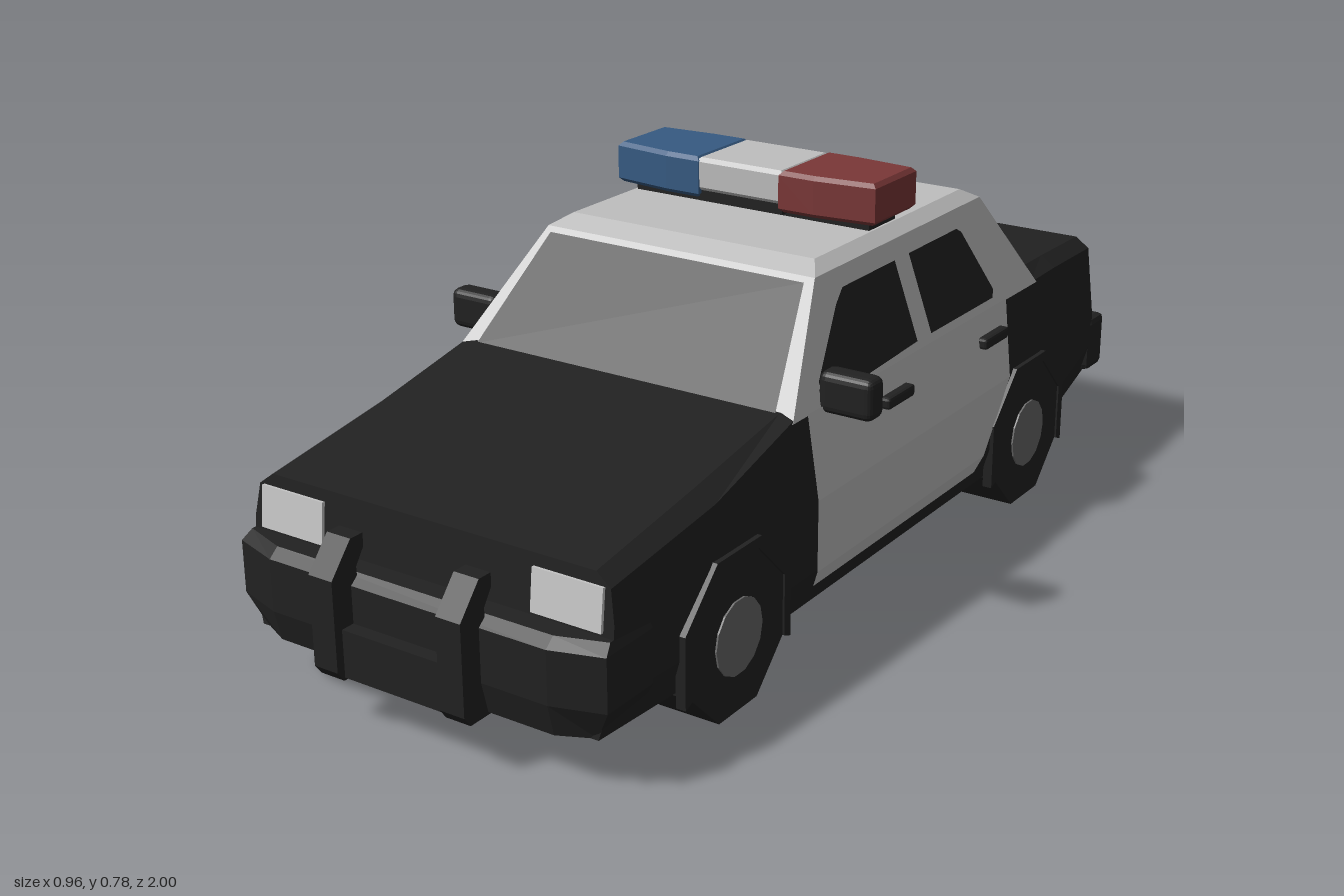
import * as THREE from 'three';
import { RoundedBoxGeometry } from 'three/addons/geometries/RoundedBoxGeometry.js';

const mat = (name, color) => new THREE.MeshStandardMaterial({ name, color, side: THREE.DoubleSide, flatShading: true });

// Skin closed cross-sections, with end caps
function loft(rings) {
  const n = rings[0].length, idx = [];
  for (let i = 0; i < rings.length - 1; i++) {
    for (let j = 0; j < n; j++) {
      const a = i * n + j, b = i * n + (j + 1) % n, d = a + n, c = b + n;
      idx.push(a, d, c, a, c, b);
    }
  }
  const last = (rings.length - 1) * n;
  for (let j = 1; j < n - 1; j++) idx.push(0, j, j + 1, last, last + j + 1, last + j);
  const g = new THREE.BufferGeometry();
  g.setAttribute('position', new THREE.Float32BufferAttribute(rings.flat(2), 3));
  g.setIndex(idx);
  const flat = g.toNonIndexed();
  flat.computeVertexNormals();
  return flat;
}

const shapeOf = (pts) => new THREE.Shape(pts.map((p) => new THREE.Vector2(...p)));

// Flat outline whose corners are laid on a surface
function plate(pts, place) {
  const g = new THREE.ShapeGeometry(shapeOf(pts)).toNonIndexed();
  const p = g.attributes.position;
  for (let i = 0; i < p.count; i++) p.setXYZ(i, ...place(p.getX(i), p.getY(i)));
  g.computeVertexNormals();
  return g;
}

// Half width of the cabin and doors at a given height
const profile = [[0.09, 0.38], [0.16, 0.4], [0.3, 0.4], [0.46, 0.375], [0.66, 0.303]];
function sideX(y) {
  let i = 0;
  while (i < profile.length - 2 && y > profile[i + 1][0]) i++;
  const [y0, x0] = profile[i], [y1, x1] = profile[i + 1];
  return x0 + (x1 - x0) * (y - y0) / (y1 - y0);
}
const onSide = (u, y) => [sideX(y) + 0.005, y, -u];

export function createModel() {
  const car = new THREE.Group();
  car.name = 'patrolCar';
  const black = mat('blackPaint', 0x212121);
  const white = mat('whitePaint', 0xbebebe);
  const lamp = mat('headlightGlass', 0xc8c8c8);
  const grey = mat('hubGrey', 0x686868);
  const blue = mat('beaconBlue', 0x365a82);
  const red = mat('beaconRed', 0x7a3737);
  const tailRed = mat('tailRed', 0xc0392b);
  const tailGreen = mat('tailGreen', 0x27ae60);

  const add = (name, geo, m, x = 0, y = 0, z = 0) => {
    const mesh = new THREE.Mesh(geo, m);
    mesh.name = name;
    mesh.position.set(x, y, z);
    car.add(mesh);
    return mesh;
  };
  // The same part on both sides of the car
  const pair = (name, geo, m, x = 0, y = 0, z = 0, rx = 0) => {
    for (const s of [1, -1]) {
      const mesh = add(name + (s > 0 ? 'Left' : 'Right'), geo, m, s * x, y, z);
      mesh.scale.x = s;
      mesh.rotation.x = rx;
    }
  };
  const box = (x, y, z) => new THREE.BoxGeometry(x, y, z);

  // Lower body, front to back: z, half widths, bottom, shoulder and top heights, lean
  const section = ([z, w, ws, wt, yb, ys, yt, lean]) => {
    const half = [[w - 0.02, yb], [w, yb + 0.07], [w, 0.3], [ws, ys], [wt, yt]];
    const ring = [...half, ...half.map(([x, y]) => [-x, y]).reverse()];
    return ring.map(([x, y]) => [x, y, z + lean * (y - 0.1)]);
  };
  add('body', loft([
    [0.915, 0.39, 0.38, 0.35, 0.1, 0.36, 0.383, -0.107],
    [0.6, 0.4, 0.385, 0.35, 0.09, 0.4, 0.427, 0],
    [0.34, 0.4, 0.375, 0.345, 0.09, 0.46, 0.467, 0],
    [-0.6, 0.4, 0.375, 0.345, 0.09, 0.46, 0.485, 0],
    [-0.72, 0.393, 0.372, 0.34, 0.11, 0.46, 0.482, 0],
    [-0.955, 0.372, 0.36, 0.33, 0.155, 0.45, 0.472, 0.094],
  ].map(section)), black);

  // Cabin with pillars and roof
  const cabinRing = ([y, w, zf, zb]) => [[w, y, zb], [w, y, zf], [-w, y, zf], [-w, y, zb]];
  add('cabin', loft([
    [0.455, 0.377, 0.345, -0.625],
    [0.66, 0.303, 0.155, -0.49],
    [0.68, 0.275, 0.11, -0.455],
  ].map(cabinRing)), white);

  // Windscreen and rear window
  add('windscreen', plate([[-0.338, 0.465], [0.338, 0.465], [0.288, 0.652], [-0.288, 0.652]],
    (x, y) => [x, y, 0.351 - 0.927 * (y - 0.455)]), black);
  add('rearWindow', plate([[-0.335, 0.47], [0.335, 0.47], [0.292, 0.658], [-0.292, 0.658]],
    (x, y) => [-x, y, -0.631 + 0.659 * (y - 0.455)]), black);

  // Doors, as strips that follow the body side and curve around the rear wheel
  const doorRear = [[0.13, 0.33], [0.16, 0.355], [0.225, 0.405], [0.3, 0.46], [0.46, 0.476]];
  for (let i = 0; i < doorRear.length - 1; i++) {
    const [y0, r0] = doorRear[i], [y1, r1] = doorRear[i + 1];
    pair('doorPanel' + i, plate([[-0.3, y0], [r0, y0], [r1, y1], [-0.3, y1]], onSide), white);
  }
  // Side windows
  pair('frontSideWindow', plate([[-0.24, 0.462], [0.11, 0.475], [0.11, 0.627], [-0.085, 0.627], [-0.12, 0.605], [-0.24, 0.5]], onSide), black);
  pair('rearSideWindow', plate([[0.165, 0.475], [0.425, 0.475], [0.436, 0.49], [0.375, 0.618], [0.36, 0.627], [0.165, 0.627]], onSide), black);
  for (const z of [0, -0.395]) pair('doorHandle', new RoundedBoxGeometry(0.024, 0.024, 0.1, 1, 0.006), black, 0.394, 0.402, z);

  // Door mirrors
  pair('mirror', new RoundedBoxGeometry(0.112, 0.08, 0.052, 2, 0.016), black, 0.424, 0.485, 0.225);
  pair('mirrorArm', box(0.06, 0.03, 0.03), black, 0.365, 0.47, 0.225);

  // Wheels with hubs and arch lips
  const tyre = new THREE.CylinderGeometry(0.155, 0.155, 0.125, 8).rotateY(Math.PI / 8).rotateZ(Math.PI / 2);
  const hub = new THREE.CylinderGeometry(0.072, 0.072, 0.01, 14).rotateZ(Math.PI / 2);
  const arc = (r) => [0, 1, 2, 3, 4, 5].map((k) => {
    const a = -Math.PI / 8 + k * Math.PI / 4;
    return [r * Math.cos(a), r * Math.sin(a)];
  });
  const lip = new THREE.ExtrudeGeometry(shapeOf([...arc(0.178), ...arc(0.156).reverse()]), { depth: 0.02, bevelEnabled: false }).rotateY(Math.PI / 2);
  for (const [end, z] of [['front', 0.56], ['rear', -0.555]]) {
    pair(end + 'Wheel', tyre, black, 0.342, 0.1435, z);
    pair(end + 'Hub', hub, grey, 0.403, 0.1435, z);
    pair(end + 'ArchLip', lip, black, 0.388, 0.1435, z);
  }

  // Bumpers
  const bumperRing = ([y, w, zf]) => [[w, y, 0.8], [w, y, zf - 0.03], [0.3, y, zf], [-0.3, y, zf], [-w, y, zf - 0.03], [-w, y, 0.8]];
  add('frontBumper', loft([[0.1, 0.365, 0.94], [0.16, 0.397, 0.955], [0.26, 0.397, 0.955], [0.277, 0.39, 0.935]].map(bumperRing)), black);
  add('rearBumper', new RoundedBoxGeometry(0.752, 0.122, 0.08, 1, 0.014), black, 0, 0.222, -0.96);

  // Push bar
  const bar = new THREE.ExtrudeGeometry(
    shapeOf([[-0.93, 0.095], [-0.985, 0.095], [-1, 0.115], [-1, 0.285], [-0.95, 0.345], [-0.92, 0.345], [-0.92, 0.32], [-0.94, 0.29]]),
    { depth: 0.052, bevelEnabled: false }).rotateY(Math.PI / 2);
  pair('pushBarUpright', bar, black, 0.112);
  add('pushBarCross', box(0.23, 0.09, 0.03), black, 0, 0.145, 0.968);

  // Headlights and tail lights
  pair('headlight', box(0.142, 0.078, 0.009), lamp, 0.298, 0.322, 0.893, -0.107);
  const tail = (name, w, h, x, y, m) => pair(name, box(w, h, 0.009), m, x, y, -0.955 + 0.094 * (y - 0.1), 0.094);
  tail('tailLightRed', 0.15, 0.065, 0.265, 0.322, tailRed);
  tail('reverseLight', 0.075, 0.06, 0.3025, 0.385, lamp);
  tail('indicatorLight', 0.075, 0.06, 0.2275, 0.385, tailGreen);

  // Roof light bar: outlines seen from above, raised with a small bevel
  const beacon = (pts, h) => new THREE.ExtrudeGeometry(shapeOf(pts),
    { depth: h - 0.016, bevelThickness: 0.008, bevelSize: 0.008, bevelOffset: -0.008, bevelSegments: 1 })
    .translate(0, 0, 0.008).rotateX(-Math.PI / 2);
  const end = (s) => [[s * 0.092, 0.055], [s * 0.17, 0.055], [s * 0.297, 0.07], [s * 0.297, 0.228], [s * 0.17, 0.238], [s * 0.092, 0.238]];
  add('redBeacon', beacon(end(1), 0.082), red, 0, 0.698, 0);
  add('blueBeacon', beacon(end(-1), 0.082), blue, 0, 0.698, 0);
  add('beaconCentre', beacon([[-0.1, 0.057], [0.1, 0.057], [0.1, 0.236], [-0.1, 0.236]], 0.067), white, 0, 0.712, 0);
  add('beaconBackPanel', box(0.186, 0.06, 0.006), black, 0, 0.738, -0.237);
  add('beaconTray', box(0.19, 0.024, 0.165), black, 0, 0.703, -0.147);
  add('beaconMount', box(0.54, 0.03, 0.1), black, 0, 0.687, -0.147);

  return car;
}
